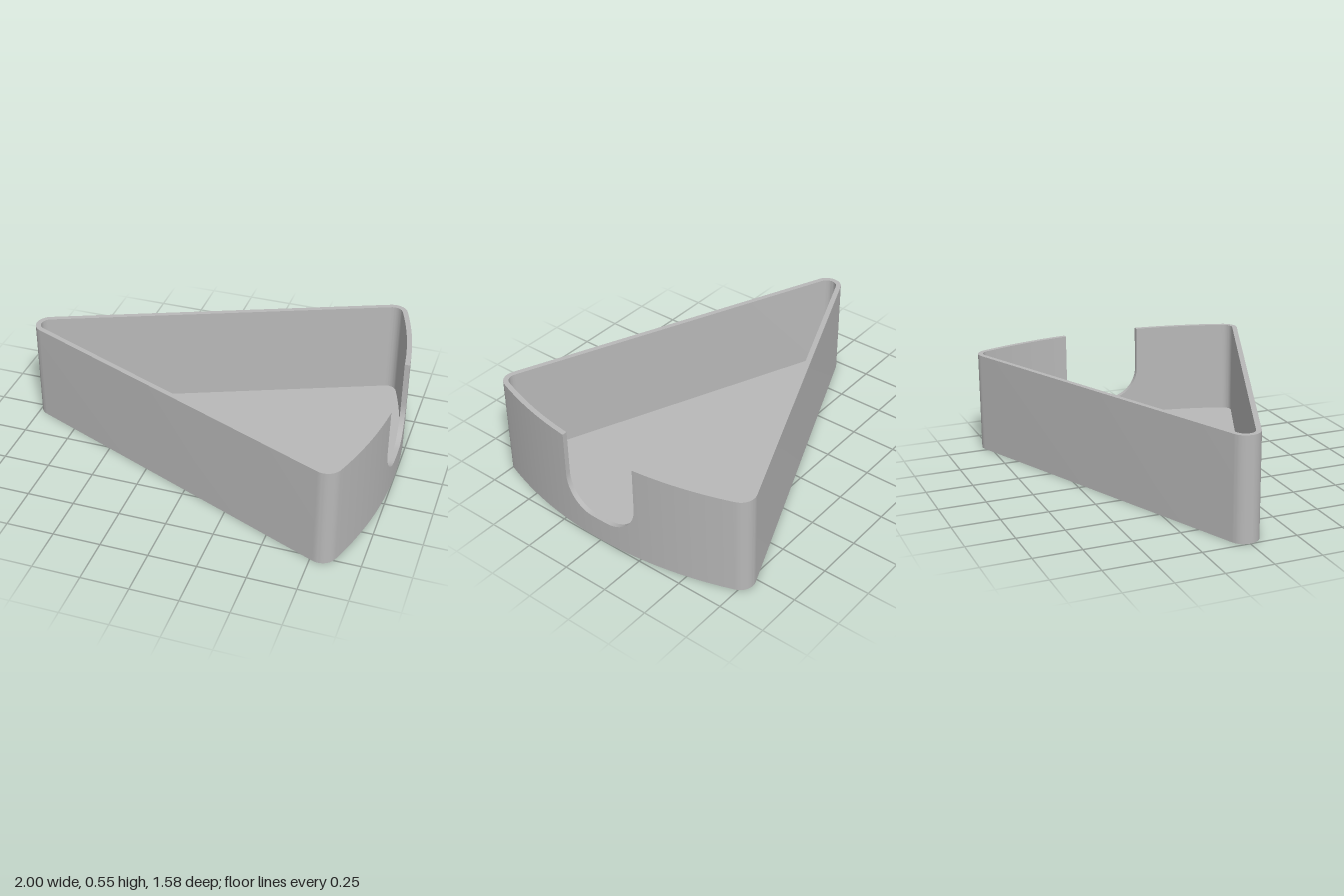
import * as THREE from 'three';
import { toCreasedNormals } from 'three/addons/utils/BufferGeometryUtils.js';

const H = 0.545;            // tray height
const T = 0.027;            // wall and floor thickness
const FILLET = 0.078;       // outer corner radius
const HALF = Math.PI / 8;   // half of the 45 degree wedge
const APEX = -1 - FILLET * (1 / Math.sin(HALF) - 1);
const R = 1 - APEX;         // radius of the curved end
const NOTCH = { half: 0.22, bottom: 0.13, radius: 0.17 };

// Walk round the wall; each section has an outer point, an inner point and a top height
function wallSections() {
  const sections = [];
  const arc = (cx, cz, radius, from, to, steps, skipLast = false) => {
    for (let i = 0; i <= steps - (skipLast ? 1 : 0); i++) {
      const a = from + (to - from) * i / steps;
      const at = r => [cx + r * Math.cos(a), cz + r * Math.sin(a)];
      sections.push({ outer: at(radius), inner: at(radius - T), top: H });
    }
  };
  const side = Math.PI / 2 + HALF;
  const corner = HALF - Math.asin(FILLET / (R - FILLET));
  const cx = APEX + (R - FILLET) * Math.cos(corner);
  const cz = (R - FILLET) * Math.sin(corner);
  const notchAngle = Math.asin(NOTCH.half / R);

  arc(APEX + FILLET / Math.sin(HALF), 0, FILLET, side, 2 * Math.PI - side, 20);  // narrow tip
  arc(cx, -cz, FILLET, -side, -corner, 14);                                     // back corner
  arc(APEX, 0, R, -corner, -notchAngle, 16, true);                              // curved end

  // Notch: straight sides, rounded lower corners, flat bottom
  const atZ = (z, top) => {
    const at = r => [APEX + Math.sqrt(r * r - z * z), z];
    sections.push({ outer: at(R), inner: at(R - T), top });
  };
  const { half, bottom, radius } = NOTCH;
  const steps = 14;
  const round = [];
  for (let i = 0; i <= steps; i++) {
    const a = i / steps * Math.PI / 2;
    round.push([half - radius + radius * Math.cos(a), bottom + radius * (1 - Math.sin(a))]);
  }
  atZ(-half, H);
  round.forEach(([z, y]) => atZ(-z, y));
  atZ(0, bottom);
  round.reverse().forEach(([z, y]) => atZ(z, y));
  atZ(half, H);

  const start = sections.length;
  arc(APEX, 0, R, corner, notchAngle, 16, true);                                // curved end
  sections.push(...sections.splice(start).reverse());
  arc(cx, cz, FILLET, corner, side, 14);                                        // front corner
  return sections;
}

// Closed sweep of the four-cornered wall cross-section
function wallGeometry(sections) {
  const positions = [];
  const rings = sections.map(({ outer: o, inner: i, top }) => [
    [o[0], 0, o[1]], [o[0], top, o[1]], [i[0], top, i[1]], [i[0], 0, i[1]],
  ].map(p => new THREE.Vector3(...p)));
  const addTriangle = (a, b, c) => {
    if (new THREE.Triangle(a, b, c).getArea() < 1e-9) return;
    for (const p of [a, b, c]) positions.push(p.x, p.y, p.z);
  };
  rings.forEach((a, s) => {
    const b = rings[(s + 1) % rings.length];
    for (let k = 0; k < 4; k++) {
      const n = (k + 1) % 4;
      addTriangle(a[k], a[n], b[n]);
      addTriangle(a[k], b[n], b[k]);
    }
  });
  const geometry = new THREE.BufferGeometry();
  geometry.setAttribute('position', new THREE.Float32BufferAttribute(positions, 3));
  return toCreasedNormals(geometry, 0.6);
}

export function createModel() {
  const grey = new THREE.MeshStandardMaterial({ color: 0xb8b8b8 });
  grey.name = 'grey plastic';
  const model = new THREE.Group();
  model.name = 'wedgeTray';
  const add = (name, geometry) => {
    const mesh = new THREE.Mesh(geometry, grey);
    mesh.name = name;
    model.add(mesh);
  };

  const sections = wallSections();
  add('notchedWall', wallGeometry(sections));

  // Floor inside the wall: upper face and underside
  const sheet = sign => new THREE.ShapeGeometry(
    new THREE.Shape(sections.map(s => new THREE.Vector2(s.inner[0], sign * s.inner[1]))));
  add('floor', sheet(-1).rotateX(-Math.PI / 2).translate(0, T, 0));
  add('underside', sheet(1).rotateX(Math.PI / 2));
  return model;
}
